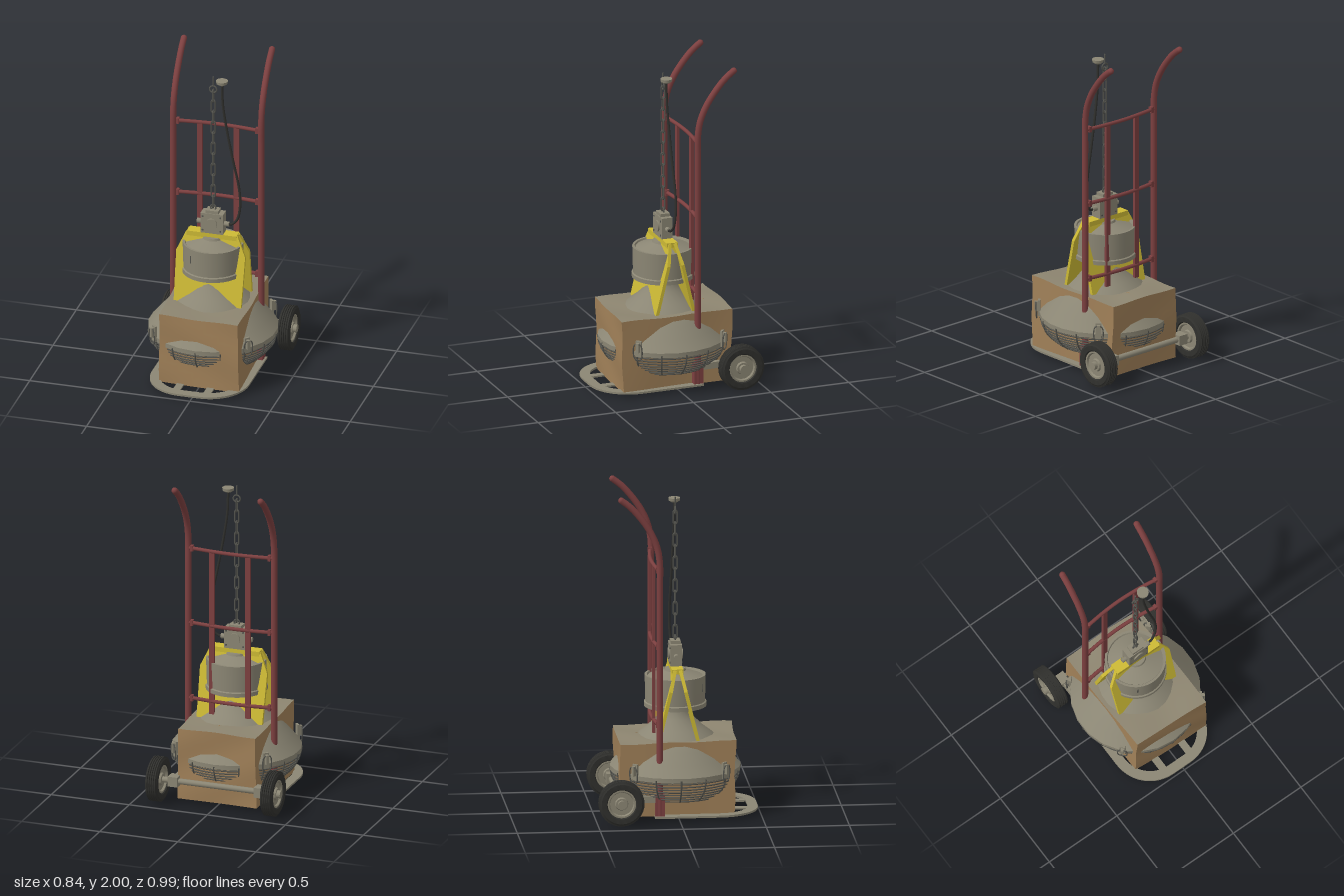
import * as THREE from 'three';
import { toCreasedNormals } from 'three/addons/utils/BufferGeometryUtils.js';

const mat = (name, color, side = THREE.FrontSide) => {
  const m = new THREE.MeshStandardMaterial({ color, side });
  m.name = name;
  return m;
};
const V = (x, y, z) => new THREE.Vector3(x, y, z);

export function createModel() {
  const root = new THREE.Group();
  const grey = mat('dusty grey metal', 0x8b8674, THREE.DoubleSide);
  const red = mat('oxide red paint', 0x7d4040);
  const yellow = mat('yellow paint', 0xcdba35, THREE.DoubleSide);
  const card = mat('cardboard', 0xa08058);
  const dust = mat('dusty cardboard', 0x8d8570);
  const rubber = mat('black rubber', 0x30302d);
  const steel = mat('dark steel', 0x55554f);

  const add = (name, geo, m, x = 0, y = 0, z = 0, parent = root) => {
    const mesh = new THREE.Mesh(geo, m);
    mesh.name = name;
    mesh.position.set(x, y, z);
    parent.add(mesh);
    return mesh;
  };
  const box = (name, m, w, h, d, x, y, z, parent) =>
    add(name, new THREE.BoxGeometry(w, h, d), m, x, y, z, parent);
  const cyl = (name, m, r, h, x, y, z, seg = 20, parent = root) =>
    add(name, new THREE.CylinderGeometry(r, r, h, seg), m, x, y, z, parent);
  const lathe = (pts, seg, crease = 0.5) => toCreasedNormals(
    new THREE.LatheGeometry(pts.map(p => new THREE.Vector2(p[0], p[1])), seg), crease);
  const tube = (name, m, pts, r, n = 16, sides = 10, closed = false, parent = root) =>
    add(name, new THREE.TubeGeometry(new THREE.CatmullRomCurve3(pts, closed), n, r, sides, closed), m, 0, 0, 0, parent);

  // Cardboard box, slightly skewed and dented
  const carton = new THREE.BoxGeometry(0.5, 0.45, 0.71, 12, 10, 14);
  const p = carton.attributes.position;
  for (let i = 0; i < p.count; i++) {
    const x = p.getX(i), y = p.getY(i), z = p.getZ(i);
    const taper = 0.975 + 0.055 * (y + 0.225);
    const top = y > 0.224 ? 0.006 * Math.sin(x * 14 + z * 5) * Math.cos(z * 11) : 0;
    p.setXYZ(i,
      x * (1 + 0.012 * Math.sin(z * 9 + y * 6)) + 0.003 + 0.008 * Math.sin(z * 4),
      y + top,
      z * taper + 0.05 * x * Math.sign(z) * (z > 0 ? 1 : -0.3) + 0.004 * Math.sin(y * 18 + x * 9));
  }
  carton.computeVertexNormals();
  add('cardboardBox', carton, [card, card, dust, card, card, card], 0, 0.247, 0);
  box('boxTopFlapSeam', card, 0.004, 0.006, 0.13, 0.025, 0.473, -0.29);

  // Hand truck uprights with swept-back handles
  for (const x of [-0.285, 0.265]) {
    const pts = [[0.02, -0.12], [0.5, -0.12], [1, -0.12], [1.45, -0.12], [1.6, -0.121], [1.7, -0.139],
      [1.8, -0.185], [1.9, -0.258], [1.95, -0.306], [1.985, -0.352]].map(([y, z]) => V(x, y, z));
    tube('uprightTube', red, pts, 0.0195, 60, 12);
    add('handleEnd', new THREE.SphereGeometry(0.0195, 12, 8), red, x, 1.985, -0.352);
    box('uprightFoot', red, 0.034, 0.14, 0.058, x, 0.095, -0.12);
    box('axleArm', grey, 0.03, 0.04, 0.24, x, 0.137, -0.25);
    box('axleBlock', grey, 0.062, 0.062, 0.07, x, 0.137, -0.355);
  }
  // Bowed crossbars and back slats
  for (const y of [0.59, 1.07, 1.545]) {
    tube('crossbar', red, [V(-0.285, y, -0.125), V(-0.13, y, -0.142), V(-0.01, y, -0.147),
      V(0.11, y, -0.142), V(0.265, y, -0.125)], 0.012, 16, 8);
    for (const x of [-0.258, 0.238]) box('crossbarJoint', red, 0.018, 0.036, 0.026, x, y, -0.128);
  }
  for (const x of [-0.125, 0.105]) box('backSlat', red, 0.032, 1.04, 0.018, x, 1.03, -0.142);

  // Toe plate: rounded loop with slats
  const toe = new THREE.Shape();
  toe.moveTo(-0.305, -0.15);
  toe.lineTo(-0.305, 0.24);
  toe.bezierCurveTo(-0.305, 0.38, -0.2, 0.49, -0.06, 0.49);
  toe.lineTo(0.06, 0.49);
  toe.bezierCurveTo(0.2, 0.49, 0.305, 0.38, 0.305, 0.24);
  toe.lineTo(0.305, -0.15);
  toe.lineTo(0.245, -0.15);
  toe.lineTo(0.245, 0.24);
  toe.bezierCurveTo(0.245, 0.345, 0.165, 0.43, 0.06, 0.43);
  toe.lineTo(-0.06, 0.43);
  toe.bezierCurveTo(-0.165, 0.43, -0.245, 0.345, -0.245, 0.24);
  toe.lineTo(-0.245, -0.15);
  const toeGeo = new THREE.ExtrudeGeometry(toe, { depth: 0.012, bevelEnabled: false, curveSegments: 14 });
  add('toePlate', toeGeo, grey, -0.01, 0.032, 0).rotation.x = Math.PI / 2;
  for (const x of [-0.105, 0.085]) {
    box('toeSlat', grey, 0.045, 0.01, 0.59, x, 0.025, 0.145);
    for (const z of [-0.2, 0.22]) box('undersideMark', yellow, 0.08, 0.005, 0.025, x * 1.5, 0.018, z);
  }

  // Axle and wheels with grooved tyres
  const axle = cyl('axle', grey, 0.018, 0.83, 0, 0.137, -0.36, 12);
  axle.rotation.z = Math.PI / 2;
  const tread = [];
  for (let i = 0; i < 5; i++) {
    const c = (i - 2) * 0.013;
    tread.push([0.129, c - 0.006], [0.137, c - 0.004], [0.137, c + 0.004], [0.129, c + 0.006]);
  }
  const tyre = lathe([[0.084, -0.026], [0.092, -0.036], [0.122, -0.038], ...tread,
    [0.122, 0.038], [0.092, 0.036], [0.084, 0.026]], 32, 0.6);
  const hub = lathe([[0, -0.03], [0.035, -0.03], [0.04, -0.018], [0.07, -0.018], [0.076, -0.03], [0.086, -0.03],
    [0.086, 0.03], [0.076, 0.03], [0.07, 0.018], [0.04, 0.018], [0.035, 0.03], [0, 0.03]], 28);
  for (const s of [-1, 1]) {
    const wheel = new THREE.Group();
    wheel.name = s > 0 ? 'leftWheel' : 'rightWheel';
    wheel.position.set(s * 0.3675, 0.137, -0.36);
    wheel.rotation.z = -s * Math.PI / 2;
    root.add(wheel);
    add('tyre', tyre, rubber, 0, 0, 0, wheel);
    add('wheelHub', hub, grey, 0, 0, 0, wheel);
    cyl('hubCap', grey, 0.024, 0.03, 0, 0.038, 0, 16, wheel);
  }

  // Lamp reflector, a faceted bell
  add('lampReflector', lathe([[0.385, 0.25], [0.393, 0.255], [0.393, 0.283], [0.34, 0.345], [0.285, 0.41],
    [0.235, 0.465], [0.17, 0.515], [0.11, 0.575], [0.075, 0.63], [0.075, 0.66]], 22, 0.7), grey);
  // Wire guard: stacked rings and ribs
  for (let i = 0; i < 8; i++) {
    const ring = add('guardRing', new THREE.TorusGeometry(0.385 - 0.0016 * i * i - 0.001 * i, 0.0045, 6, 32),
      steel, 0, 0.245 - i * 0.018, 0);
    ring.rotation.x = Math.PI / 2;
  }
  for (let i = 0; i < 16; i++) {
    const a = i * Math.PI / 8, c = Math.cos(a), s = Math.sin(a);
    tube('guardRib', steel, [[0.392, 0.27], [0.38, 0.21], [0.35, 0.165], [0.3, 0.118]]
      .map(([r, y]) => V(r * c, y, r * s)), 0.005, 8, 6);
  }
  // Rim latches
  for (const sx of [-1, 1]) for (const sz of [-1, 1]) {
    const latch = new THREE.Group();
    latch.name = 'rimLatch';
    latch.position.set(sx * 0.288, 0.305, sz * 0.268);
    latch.rotation.y = Math.atan2(sx, sz);
    root.add(latch);
    box('latchPlate', grey, 0.035, 0.1, 0.014, 0, 0, 0, latch);
    box('latchLever', grey, 0.018, 0.06, 0.03, 0, 0.01, 0.012, latch);
    tube('latchWire', steel, [V(-0.02, 0.03, 0.02), V(0.02, 0.03, 0.02), V(0.02, -0.06, 0.015),
      V(-0.02, -0.06, 0.015)], 0.004, 20, 6, true, latch);
  }

  // Lamp housing drum
  add('lampHousing', lathe([[0, 0.645], [0.188, 0.645], [0.188, 0.67], [0.18, 0.675], [0.184, 0.825],
    [0.184, 0.838], [0.17, 0.838], [0.165, 0.828], [0.13, 0.84], [0.065, 0.862], [0.06, 0.875], [0, 0.875]], 32), grey);
  box('housingSlot', steel, 0.005, 0.05, 0.005, -0.095, 0.77, 0.156);

  // Yellow hanger: two leaning plates under a ridge
  const side = new THREE.Shape([[-0.21, 0], [0.21, 0], [0.215, 0.33], [0.16, 0.455], [-0.16, 0.455], [-0.215, 0.33]]
    .map(([x, y]) => new THREE.Vector2(x, y)));
  const plateGeo = new THREE.ExtrudeGeometry(side, { depth: 0.02, bevelEnabled: false });
  for (const turn of [0, Math.PI]) {
    const half = new THREE.Group();
    half.name = 'hangerSide';
    half.rotation.y = turn;
    root.add(half);
    add('hangerPlate', plateGeo, yellow, 0, 0.45, 0.112, half).rotation.x = -0.235;
  }
  box('hangerRidge', yellow, 0.31, 0.03, 0.07, 0, 0.885, 0);

  // Gear box with side fittings
  box('gearBox', grey, 0.14, 0.13, 0.07, 0, 0.965, 0);
  box('gearBoxLid', grey, 0.08, 0.022, 0.06, 0, 1.038, 0);
  for (const s of [-1, 1]) {
    cyl('gearBoxBoss', grey, 0.035, 0.012, 0, 0.965, s * 0.038).rotation.x = Math.PI / 2;
    cyl('cableGland', grey, 0.016, 0.04, s * 0.08, 0.96, 0, 10).rotation.z = Math.PI / 2;
    for (const y of [0.92, 1.01]) for (const x of [-0.055, 0.055]) {
      cyl('gearBoxBolt', steel, 0.006, 0.006, x, y, s * 0.036, 6).rotation.x = Math.PI / 2;
    }
  }

  // Chain with alternating links, eye ring and hook rod
  const link = new THREE.TubeGeometry(new THREE.CatmullRomCurve3(
    [[0.006, 0.041], [0.012, 0.032], [0.012, -0.032], [0.006, -0.041], [-0.006, -0.041],
      [-0.012, -0.032], [-0.012, 0.032], [-0.006, 0.041]].map(([x, y]) => V(x, y, 0)), true, 'catmullrom', 0.1),
    32, 0.0048, 6, true);
  for (let i = 0; i < 11; i++) {
    add('chainLink', link, steel, 0, 1.1 + i * 0.0705, 0).rotation.y = i % 2 ? 0 : Math.PI / 2;
  }
  add('chainRing', new THREE.TorusGeometry(0.022, 0.005, 8, 20), steel, 0, 1.848, 0);
  cyl('chainRod', steel, 0.005, 0.06, 0, 1.9, 0, 8);
  add('lowerEye', new THREE.TorusGeometry(0.017, 0.005, 8, 16), steel, 0, 1.06, 0);

  // Power cable and ceiling cap
  tube('powerCable', rubber, [V(0.055, 1.89, 0), V(0.06, 1.75, -0.002), V(0.085, 1.57, -0.008),
    V(0.12, 1.38, -0.014), V(0.155, 1.2, -0.02), V(0.163, 1.08, -0.018), V(0.145, 0.99, -0.01),
    V(0.115, 0.962, -0.002), V(0.085, 0.96, 0)], 0.008, 60, 8);
  add('ceilingCap', lathe([[0, 1.885], [0.02, 1.885], [0.034, 1.895], [0.036, 1.912], [0, 1.912]], 20), grey, 0.055, 0, 0);

  return root;
}
